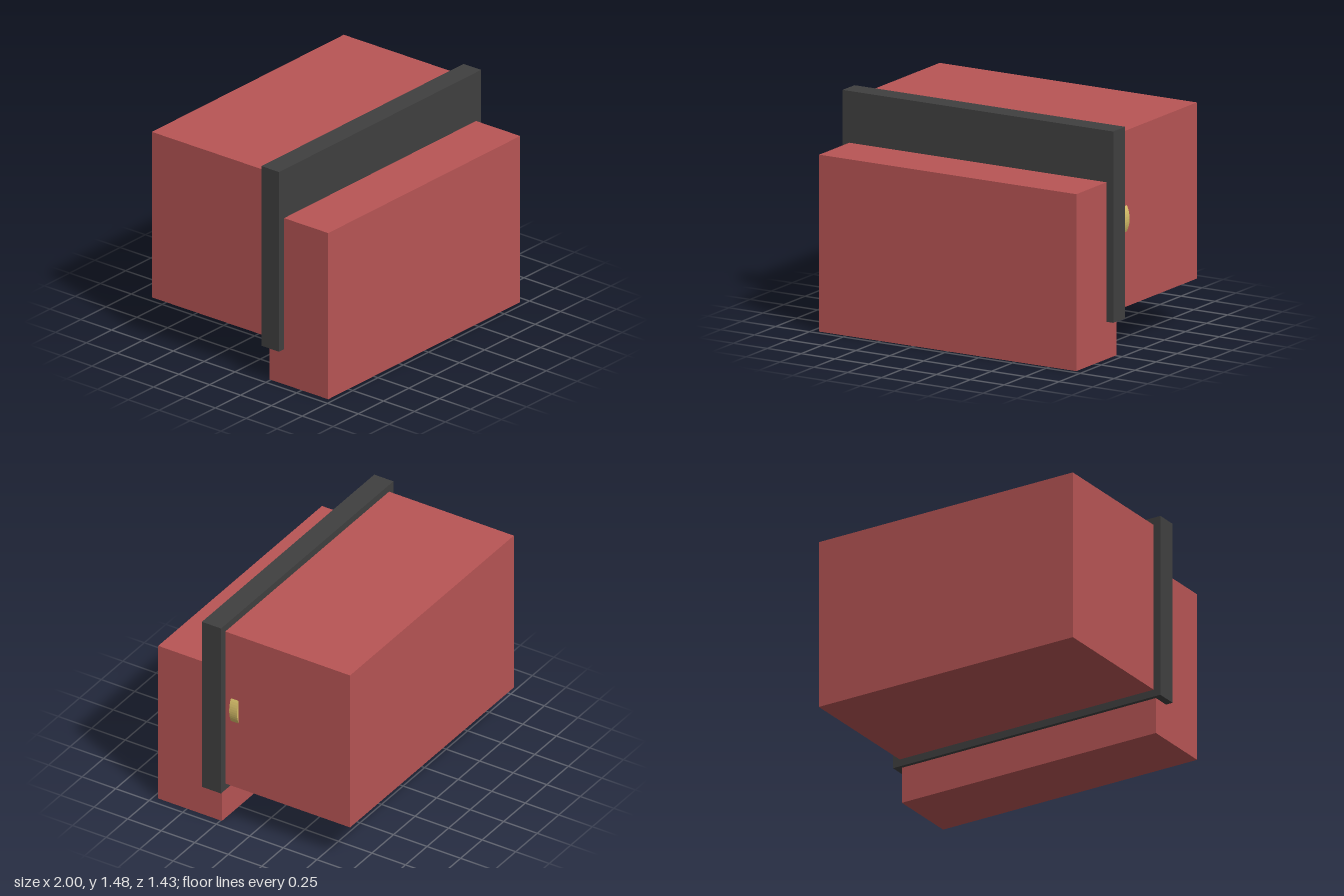
import * as THREE from 'three';

export function createModel() {
  const model = new THREE.Group();
  const red = new THREE.MeshStandardMaterial({ color: 0xb85555 });
  const dark = new THREE.MeshStandardMaterial({ color: 0x404040 });
  const brass = new THREE.MeshStandardMaterial({ color: 0xd9c06a });

  const add = (name, geometry, material) => {
    const mesh = new THREE.Mesh(geometry, material);
    mesh.name = name;
    model.add(mesh);
    return mesh;
  };

  // Box spanning +-halfWidth in x and the given ranges in y and z
  const block = (name, halfWidth, y0, y1, z0, z1, material) =>
    add(name, new THREE.BoxGeometry(halfWidth * 2, y1 - y0, z1 - z0), material)
      .position.set(0, (y0 + y1) / 2, (z0 + z1) / 2);

  // Two blocks joined by an overhanging plate
  block('rearBody', 0.95, 0.29, 1.43, -0.715, 0.23, red);
  block('frontBody', 0.95, 0, 1.145, 0.24, 0.715, red);
  block('dividingPlate', 1, 0.242, 1.48, 0.215, 0.357, dark);

  // Shallow curved latch on the left side of the rear body
  const radius = 0.19;
  const halfAngle = Math.asin(0.085 / radius);
  const arc = new THREE.Shape();
  arc.absarc(0, 0, radius, -halfAngle, halfAngle, false);
  arc.closePath();
  const latch = new THREE.ExtrudeGeometry(arc, { depth: 0.058, bevelEnabled: false, curveSegments: 5 });
  add('latch', latch, brass).position.set(0.97 - radius, 0.86, 0.115);

  return model;
}
